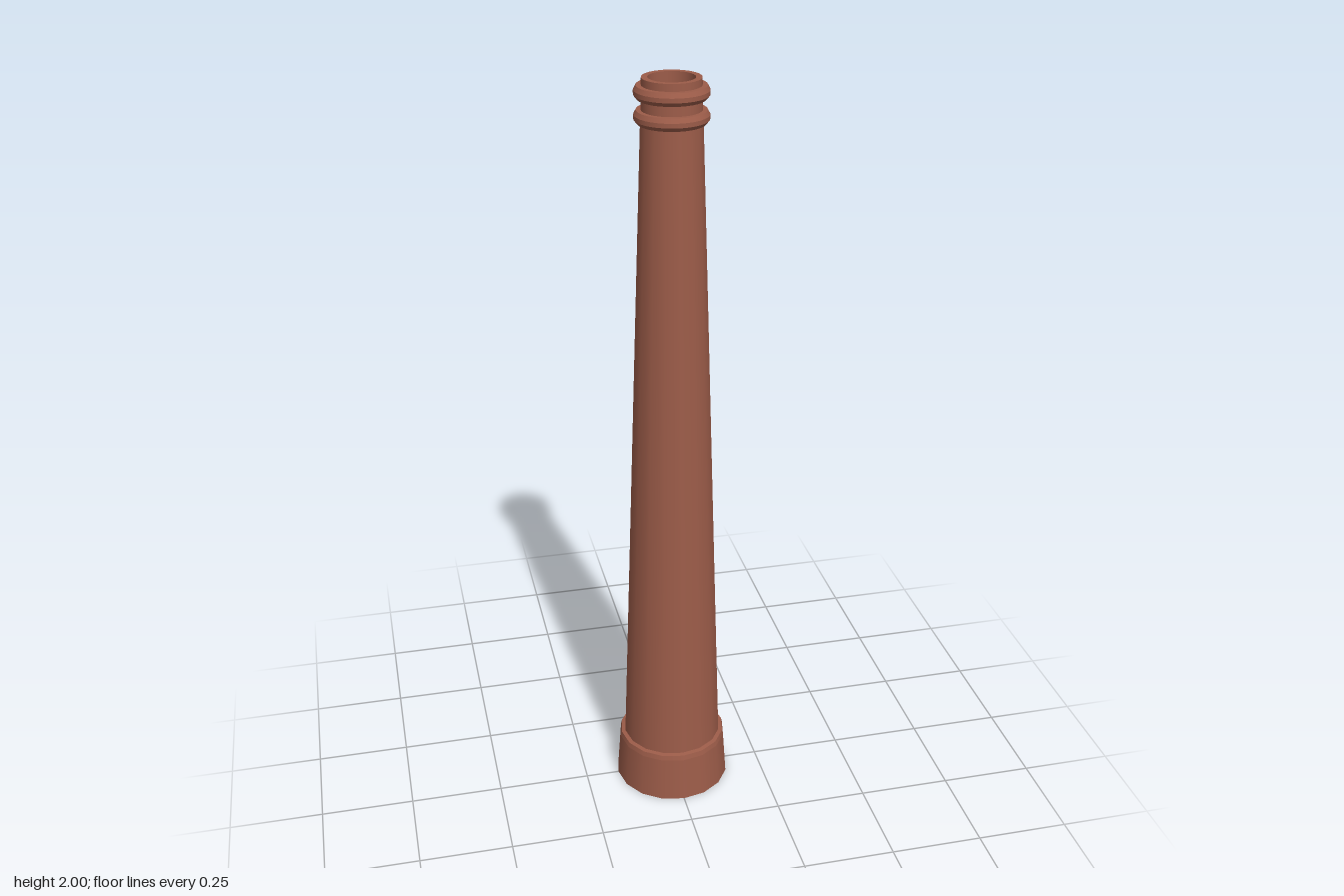
import * as THREE from 'three';

export function createModel() {
  const group = new THREE.Group();
  const brick = new THREE.MeshStandardMaterial({ color: 0x9c5c49, side: THREE.DoubleSide });
  brick.name = 'red brick';
  const soot = new THREE.MeshStandardMaterial({ color: 0x2e2424, side: THREE.DoubleSide });
  soot.name = 'soot';

  // Each profile step is its own band: smooth around, crisp between steps
  function turned(name, profile, sides) {
    const part = new THREE.Group();
    part.name = name;
    for (let i = 0; i < profile.length - 1; i++) {
      const points = [profile[i], profile[i + 1]].map(([r, y]) => new THREE.Vector2(r, y));
      const band = new THREE.Mesh(new THREE.LatheGeometry(points, sides), brick);
      band.name = `${name}Band${i + 1}`;
      part.add(band);
    }
    group.add(part);
  }

  // Flared plinth, open underneath
  turned('plinth', [[0.158, 0], [0.149, 0.127], [0.146, 0.141], [0.135, 0.143]], 16);

  // Tapering stack
  turned('shaft', [[0.135, 0.143], [0.076, 1.9]], 16);

  // Two projecting collars
  for (const [name, y] of [['lowerCollar', 1.892], ['upperCollar', 1.95]]) {
    turned(name, [
      [0.074, y], [0.083, y], [0.091, y + 0.01], [0.091, y + 0.021],
      [0.085, y + 0.032], [0.072, y + 0.032],
    ], 32);
  }

  // Neck, rim and the inside of the flue
  turned('neck', [[0.074, 1.895], [0.072, 2], [0.057, 2], [0.057, 1.88]], 32);

  // Dark floor of the flue
  const floor = new THREE.Mesh(new THREE.CircleGeometry(0.058, 32), soot);
  floor.name = 'flueFloor';
  floor.rotation.x = -Math.PI / 2;
  floor.position.y = 1.88;
  group.add(floor);

  return group;
}
